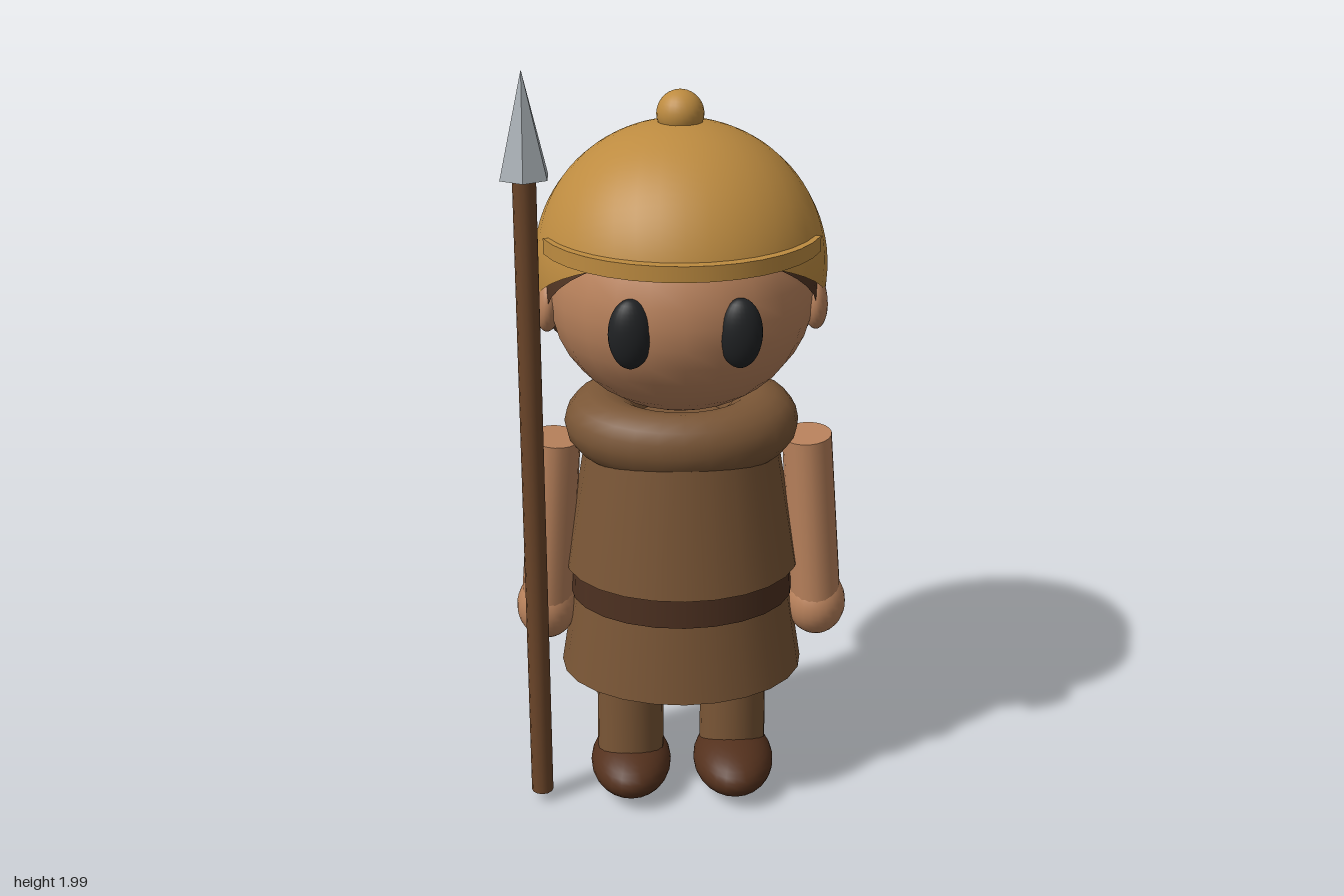
import * as THREE from 'three';

const mat = (name, color) => Object.assign(new THREE.MeshStandardMaterial({ color }), { name });

export function createModel() {
  const root = new THREE.Group();
  root.name = 'spearGuard';

  const skin = mat('skin', 0xb9825c);
  const cloth = mat('brown cloth', 0x7a5636);
  const leather = mat('belt leather', 0x4c3020);
  const boot = mat('boot leather', 0x54311d);
  const hairMat = mat('dark hair', 0x4e3322);
  const brass = mat('brass', 0xbd8b40);
  const black = mat('eye black', 0x202224);
  const wood = mat('spear wood', 0x6b4529);
  const steel = mat('steel', 0xa9b0b5);
  steel.flatShading = true;
  hairMat.side = brass.side = THREE.DoubleSide;

  const add = (name, geometry, material, x, y, z) => {
    const mesh = new THREE.Mesh(geometry, material);
    mesh.name = name;
    mesh.position.set(x, y, z);
    root.add(mesh);
    return mesh;
  };
  const ball = (name, material, pos, size) =>
    add(name, new THREE.SphereGeometry(1, 24, 18).scale(...size), material, ...pos);
  // Sphere cap whose pole leans backwards by tilt
  const cap = (theta, tilt, size) =>
    new THREE.SphereGeometry(1, 40, 24, 0, Math.PI * 2, 0, theta).rotateX(-tilt).scale(...size);
  // Oval tapered band between two heights
  const band = (name, material, y0, y1, r0, r1, depth) =>
    add(name, new THREE.CylinderGeometry(r1, r0, y1 - y0, 24).scale(1, 1, depth),
      material, 0, (y0 + y1) / 2, 0.07);

  // Clothing
  band('skirt', cloth, 0.37, 0.6, 0.322, 0.286, 0.83);
  band('belt', leather, 0.585, 0.685, 0.295, 0.29, 0.85);
  band('tunic', cloth, 0.67, 1.08, 0.308, 0.24, 0.87);
  const collar = add('collar',
    new THREE.TorusGeometry(0.205, 0.098, 16, 28).rotateX(Math.PI / 2).scale(1, 0.9, 0.76),
    cloth, 0, 1.065, 0.07);
  collar.rotation.x = 0.09;

  // Head, hair and helmet
  ball('head', skin, [0, 1.41, 0.028], [0.34, 0.31, 0.355]);
  add('hair', cap(1.8, 0.81, [0.35, 0.318, 0.366]), hairMat, 0, 1.41, 0.028);
  add('helmet', cap(1.8, 0.54, [0.375, 0.375, 0.375]), brass, 0, 1.455, -0.01);
  ball('helmetKnob', brass, [0, 1.845, -0.02], [0.06, 0.06, 0.06]);
  add('helmetBrim', new THREE.CylinderGeometry(0.362, 0.362, 0.04, 14, 1, false, -1.25, 2.5),
    brass, 0, 1.55, 0.014);

  // Mirrored parts
  for (const s of [1, -1]) {
    const side = s > 0 ? 'left' : 'right';
    ball(side + 'Eye', black, [s * 0.132, 1.395, 0.35], [0.054, 0.088, 0.037]);
    const ear = ball(side + 'Ear', skin, [s * 0.336, 1.385, 0.072], [0.034, 0.074, 0.063]);
    ear.rotation.z = s * 0.08;

    const arm = add(side + 'Arm',
      new THREE.CylinderGeometry(0.065, 0.068, 0.47, 20).scale(1, 1, 1.22),
      skin, s * 0.343, 0.785, 0.07);
    arm.rotation.z = s * 0.07;
    ball(side + 'Hand', skin, [s * 0.361, 0.535, 0.07], [0.08, 0.09, 0.09]);

    add(side + 'Leg', new THREE.CylinderGeometry(0.088, 0.09, 0.36, 20), cloth,
      s * 0.14, 0.26, s > 0 ? 0.068 : 0.115);
    ball(side + 'Shoe', boot, [s * 0.14, 0.083, 0.12], [0.109, 0.075, 0.17]);
  }

  // Spear
  add('spearShaft', new THREE.CylinderGeometry(0.029, 0.029, 1.705, 12), wood, -0.382, 0.8875, 0.192);
  add('spearTip', new THREE.ConeGeometry(0.066, 0.26, 6), steel, -0.382, 1.87, 0.192);

  return root;
}
